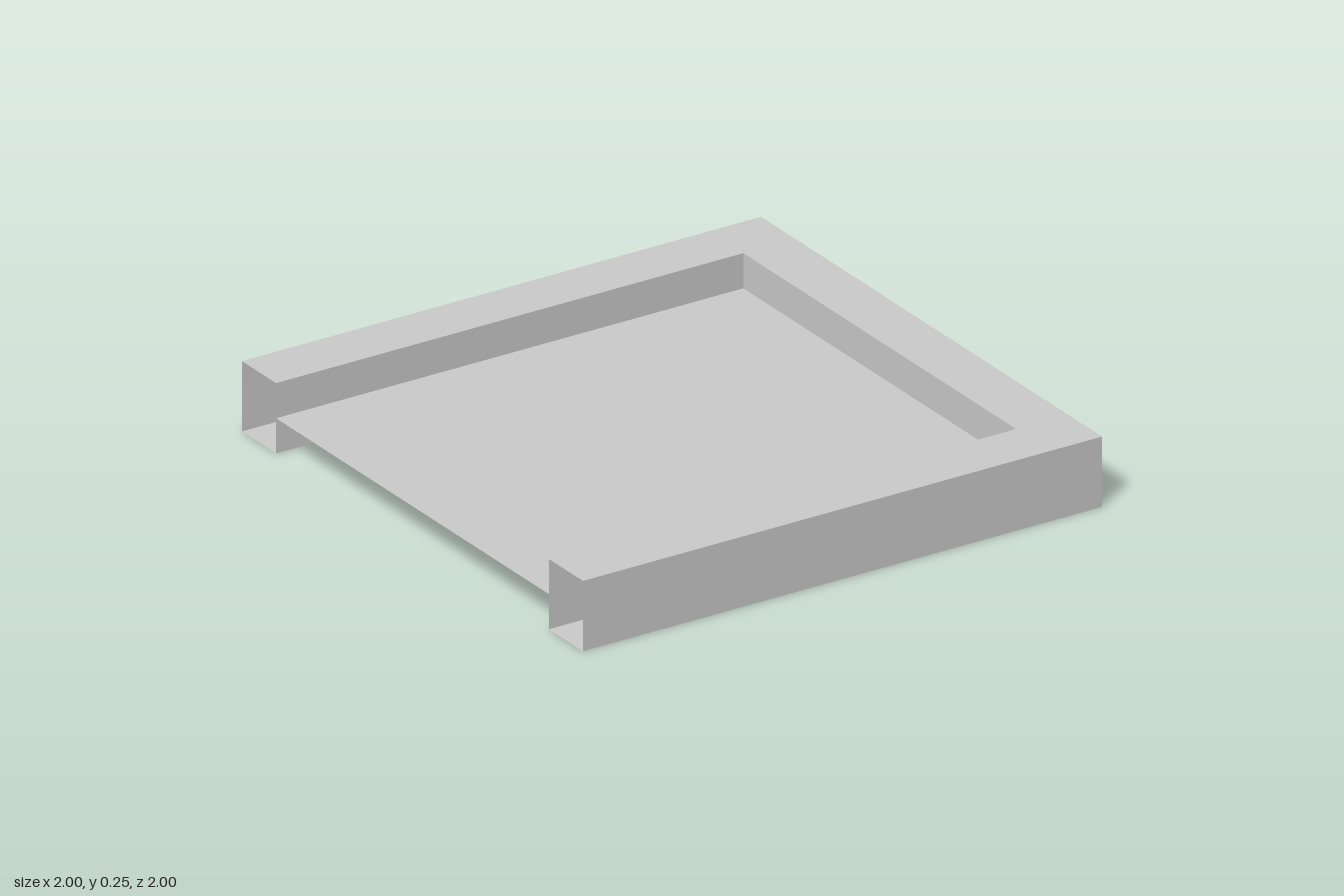
import * as THREE from 'three';

const HEIGHT = 0.25, OUTER = 1, INNER = 0.8;

export function createModel() {
  const model = new THREE.Group();
  const grey = new THREE.MeshStandardMaterial({ color: 0xcccccc, side: THREE.DoubleSide });
  grey.name = 'plainGrey';

  const add = (name, geometry, parent = model) => {
    const mesh = new THREE.Mesh(geometry, grey);
    mesh.name = name;
    parent.add(mesh);
    return mesh;
  };

  // Hollow U-shaped frame, open at the -x ends of both arms
  const frame = new THREE.Group();
  frame.name = 'frame';
  model.add(frame);

  const outline = new THREE.Shape([
    [-OUTER, -OUTER], [OUTER, -OUTER], [OUTER, OUTER], [-OUTER, OUTER],
    [-OUTER, INNER], [INNER, INNER], [INNER, -INNER], [-OUTER, -INNER],
  ].map(([x, y]) => new THREE.Vector2(x, y)));

  const rimTop = new THREE.ShapeGeometry(outline).rotateX(-Math.PI / 2).translate(0, HEIGHT, 0);
  const rimBottom = new THREE.ShapeGeometry(outline).rotateX(Math.PI / 2);
  add('rimTop', rimTop, frame);
  add('rimBottom', rimBottom, frame);

  // Upright walls: outer skin faces out, inner skin faces the recess
  for (const [skin, edge, facing] of [['outer', OUTER, 1], ['inner', INNER, -1]]) {
    const length = OUTER + edge;
    for (const [side, s] of [['Front', 1], ['Back', -1]]) {
      const wall = new THREE.PlaneGeometry(length, HEIGHT);
      if (s * facing < 0) wall.rotateY(Math.PI);
      add(skin + side + 'Wall', wall.translate((edge - OUTER) / 2, HEIGHT / 2, s * edge), frame);
    }
    const endWall = new THREE.PlaneGeometry(2 * edge, HEIGHT).rotateY(facing * Math.PI / 2);
    add(skin + 'EndWall', endWall.translate(edge, HEIGHT / 2, 0), frame);
  }

  // Thin panel halfway up the recess
  const panel = new THREE.PlaneGeometry(OUTER + INNER, 2 * INNER).rotateX(-Math.PI / 2);
  add('panel', panel.translate((INNER - OUTER) / 2, HEIGHT / 2, 0));

  return model;
}
